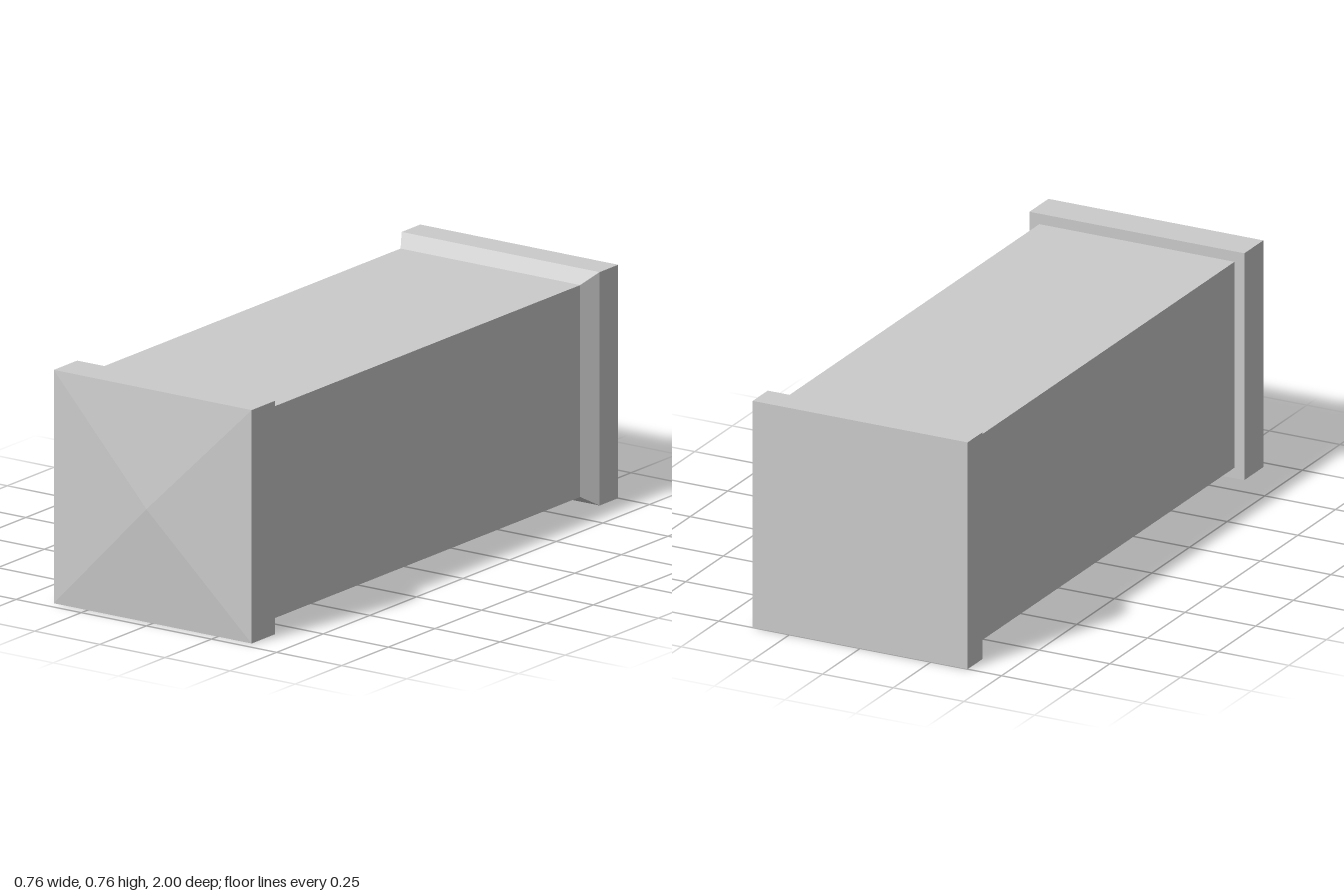
import * as THREE from 'three';

const HALF = 0.38;    // half width of the end blocks
const SHAFT = 0.345;  // half width of the shaft

const material = new THREE.MeshStandardMaterial({ color: 0xcccccc, flatShading: true });

// Square section swept along z from a profile of [half width, z], back to front
function squareSection(name, profile) {
  const points = profile.map(([half, z]) => new THREE.Vector2(half * Math.SQRT2, z));
  const geometry = new THREE.LatheGeometry(points, 4, Math.PI / 4);
  geometry.rotateX(Math.PI / 2);
  const mesh = new THREE.Mesh(geometry, material);
  mesh.name = name;
  mesh.position.y = HALF;
  return mesh;
}

export function createModel() {
  const group = new THREE.Group();
  group.name = 'squarePost';
  group.add(
    // Flat back block with a chamfer down to the shaft
    squareSection('base', [[0, -1], [HALF, -1], [HALF, -0.9], [SHAFT, -0.845]]),
    // Long plain shaft
    squareSection('shaft', [[SHAFT, -0.845], [SHAFT, 0.84]]),
    // Stepped front block with a shallow pyramid face
    squareSection('cap', [[SHAFT, 0.84], [HALF, 0.84], [HALF, 0.966], [0, 1]]),
  );
  return group;
}
